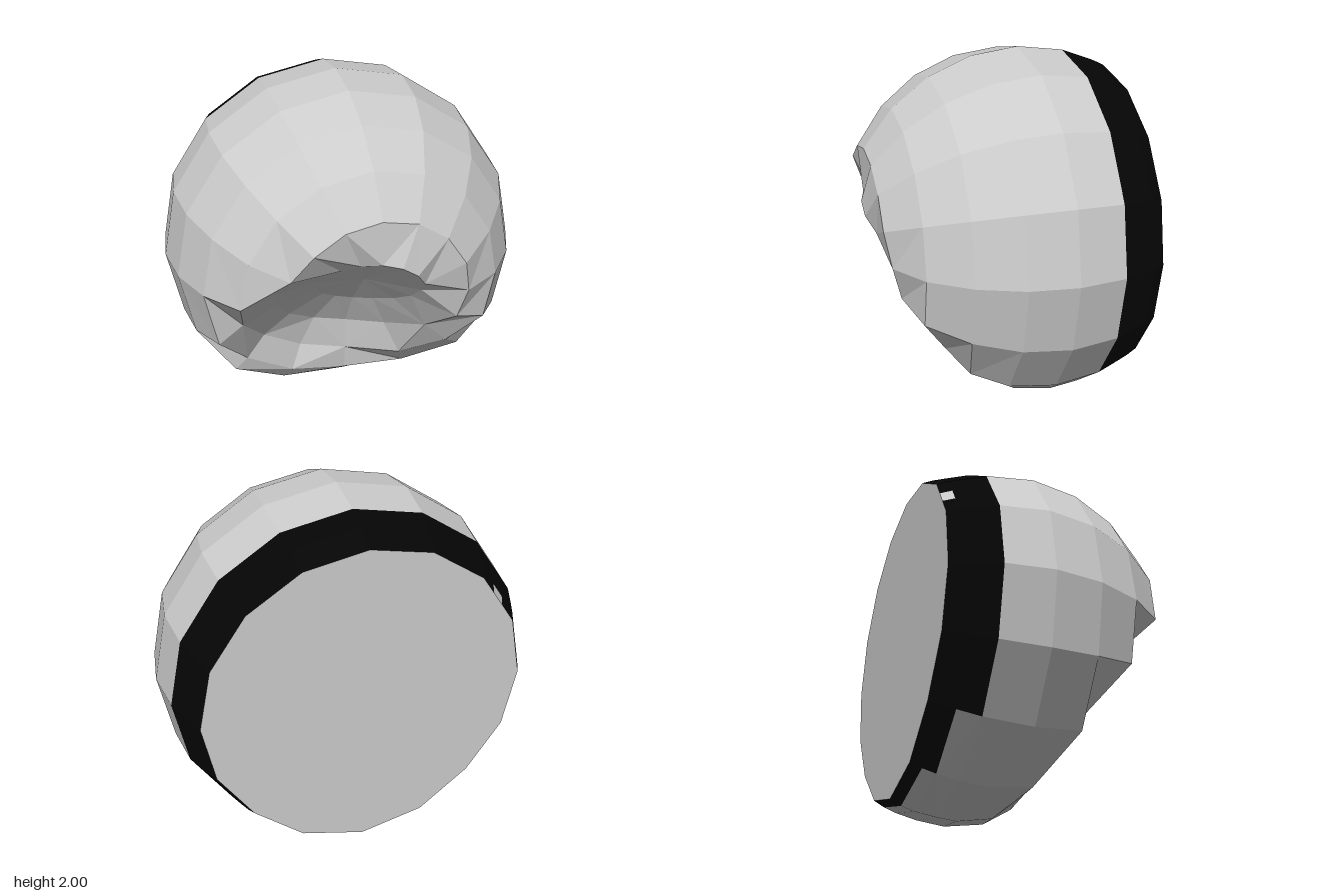
import * as THREE from 'three';

const SIDES = 16, CY = 1, CZ = -0.18, BACK = -0.69;

// Depth of the hollow along its middle, as [y, z] pairs
const HOLLOW = [[0, -0.3], [0.035, -0.13], [0.13, 0.03], [0.29, -0.03], [0.5, -0.02],
  [0.74, 0.12], [1, 0.35], [1.26, 0.66], [1.5, 1.0], [2, 2]];
// Side outline of the slanted rim around the hollow
const RIM = [[0, -0.33], [0.035, -0.13], [0.08, -0.1], [0.2, 0.1], [0.5, 0.38],
  [0.8, 0.6], [1.1, 0.68], [1.3, 0.9], [2, 2]];

function interpolate(pairs, y) {
  const i = Math.max(1, pairs.findIndex(p => y <= p[0]));
  const [y0, z0] = pairs[i - 1], [y1, z1] = pairs[i];
  return z0 + (z1 - z0) * (y - y0) / (y1 - y0);
}

// Rings of the ball from front pole to back cut: radius, z, and how far
// the underside sags below the round shape
const rings = [];
for (let deg = 0; deg <= 90; deg += 15) {
  const a = THREE.MathUtils.degToRad(deg);
  rings.push({ r: Math.sin(a), z: CZ + Math.cos(a), sag: 0 });
}
rings.push({ r: 0.966, z: -0.44, sag: 0.024 }, { r: 0.922, z: -0.56, sag: 0.05 },
  { r: 0.895, z: -0.63, sag: 0.055 }, { r: 0.866, z: BACK, sag: 0.054 });

// Point on the ball, pushed back by the slanted rim and the hollow
function point(i, j) {
  const { r, z, sag } = rings[i];
  const a = (j / SIDES) * Math.PI * 2;
  const under = Math.max(0, 1 - Math.abs(j - 12) * 0.35);
  const radius = r + (Math.abs(j - 12) < 2 ? sag * under : 0);
  const x = radius * Math.cos(a), y = CY + radius * Math.sin(a);
  if (i === 6) return new THREE.Vector3(x, y, Math.abs(j - 12) < 2 ? z - 0.15 * under : z);
  if (i > 6) return new THREE.Vector3(x, y, z);
  // The hollow is steeper on the model's left
  const side = x + 0.18;
  const bowl = interpolate(HOLLOW, y) + (side > 0 ? 1.2 : 0.6) * side * side;
  return new THREE.Vector3(x, y, Math.min(z, interpolate(RIM, y), bowl));
}

// Splits the quad along its shorter diagonal
function addQuad(list, a, b, c, d) {
  if (a.distanceTo(c) <= b.distanceTo(d)) list.push(a, b, c, a, c, d);
  else list.push(a, b, d, b, c, d);
}

function makeMesh(name, points, color) {
  const geometry = new THREE.BufferGeometry().setFromPoints(points);
  geometry.computeVertexNormals();
  const mesh = new THREE.Mesh(geometry, new THREE.MeshStandardMaterial({ color, flatShading: true }));
  mesh.name = name;
  return mesh;
}

export function createModel() {
  const group = new THREE.Group();
  group.name = 'dentedBall';
  const shell = [], band = [], patch = [], cap = [];
  const last = rings.length - 1;

  for (let i = 0; i < last; i++) {
    for (let j = 0; j < SIDES; j++) {
      const fromBottom = Math.abs(j + 0.5 - 12);
      // The dark band narrows in two steps underneath
      const dark = i >= 7 && !(i === 7 && fromBottom < 2) && !(i === 8 && fromBottom < 1);
      const a = point(i, j), b = point(i + 1, j), c = point(i + 1, j + 1), d = point(i, j + 1);
      if (i === 0) {
        shell.push(a, b, c);
      } else if (i === 9 && j === 6) {
        // Small light patch in the upper part of the band
        const cuts = [0, 0.35, 0.63, 1];
        for (let k = 0; k < 3; k++) {
          const s = cuts[k], e = cuts[k + 1];
          addQuad(k === 1 ? patch : band,
            a.clone().lerp(d, s), b.clone().lerp(c, s), b.clone().lerp(c, e), a.clone().lerp(d, e));
        }
      } else {
        addQuad(dark ? band : shell, a, b, c, d);
      }
    }
  }

  // Flat back
  for (let j = 0; j < SIDES; j++) {
    cap.push(new THREE.Vector3(0, CY, BACK), point(last, j + 1), point(last, j));
  }
  // Close the seam: the sector after the last is the first one again
  group.add(makeMesh('shell', shell, 0xcccccc));
  group.add(makeMesh('backBand', band, 0x050505));
  group.add(makeMesh('bandPatch', patch, 0xcccccc));
  group.add(makeMesh('backCap', cap, 0xcccccc));
  return group;
}
